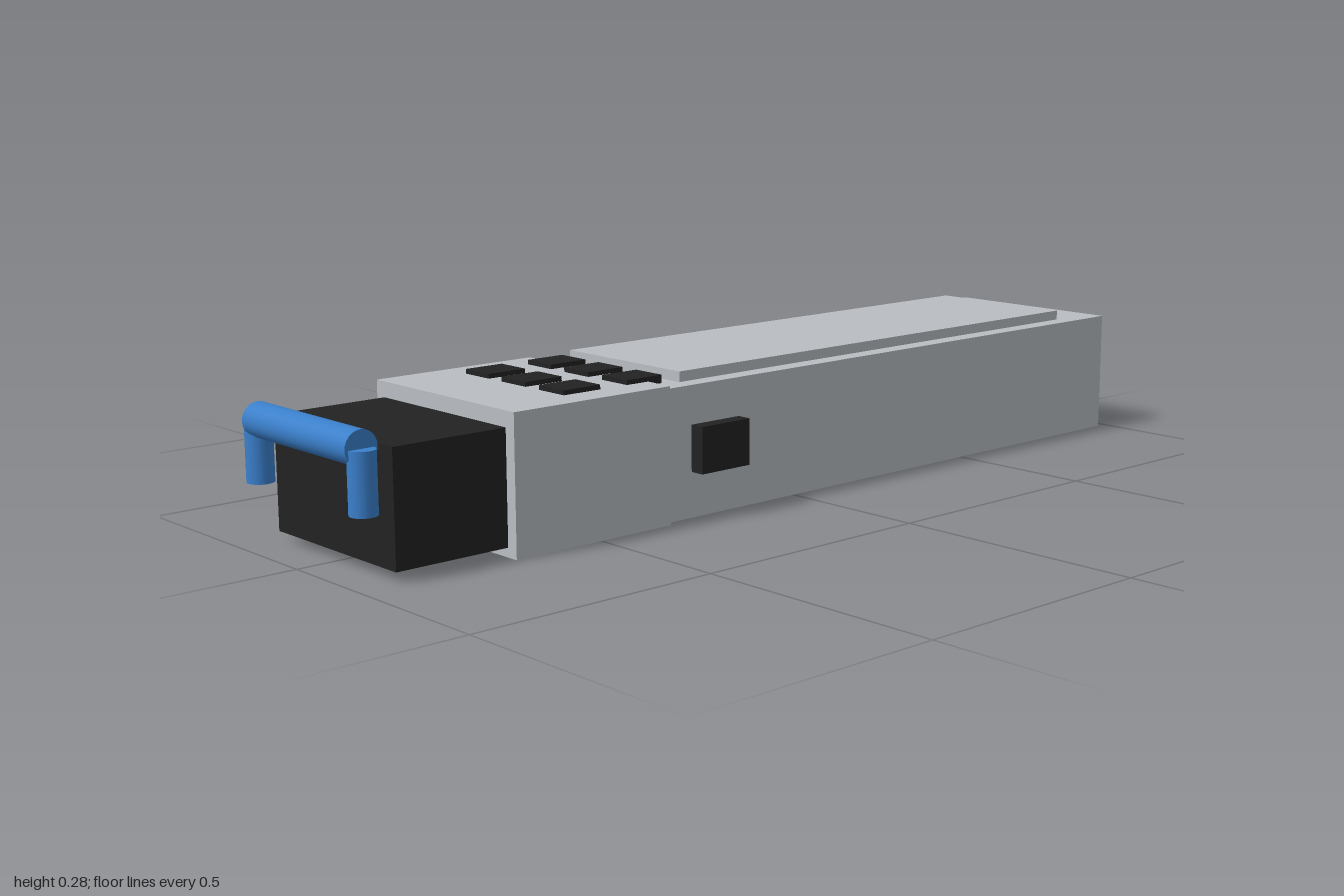
import * as THREE from 'three';

const material = (name, color) => {
  const m = new THREE.MeshStandardMaterial({ color });
  m.name = name;
  return m;
};

export function createModel() {
  const model = new THREE.Group();
  model.name = 'transceiverModule';
  const metal = material('silverMetal', 0xb9bdc1);
  const black = material('blackPlastic', 0x222222);
  const blue = material('blueLatch', 0x3a7fcb);

  const add = (name, geometry, mat, x = 0, y = 0, z = 0) => {
    const mesh = new THREE.Mesh(geometry, mat);
    mesh.name = name;
    mesh.position.set(x, y, z);
    model.add(mesh);
    return mesh;
  };

  // Box given by its lower and upper limits on each axis
  const box = (name, mat, [x0, x1], [y0, y1], [z0, z1]) =>
    add(name, new THREE.BoxGeometry(x1 - x0, y1 - y0, z1 - z0), mat,
      (x0 + x1) / 2, (y0 + y1) / 2, (z0 + z1) / 2);

  // Metal shell
  box('body', metal, [-0.2, 0.2], [0.002, 0.255], [-0.972, 0.336]);
  box('frontCollar', metal, [-0.21, 0.21], [0, 0.262], [0.334, 0.69]);
  box('topPlate', metal, [-0.163, 0.163], [0.25, 0.275], [-0.855, 0.27]);

  // Black port block at the front and edge connector at the back
  box('frontPort', black, [-0.186, 0.186], [0.018, 0.232], [0.68, 0.922]);
  box('rearConnector', black, [-0.163, 0.163], [0.062, 0.179], [-1, -0.96]);

  // Two rows of three raised pads on top
  for (const z of [0.343, 0.49]) {
    for (const x of [-0.112, 0, 0.112]) {
      box('topPad', black, [x - 0.036, x + 0.036], [0.245, 0.271], [z - 0.042, z + 0.042]);
    }
  }

  // Side catches and latch legs, mirrored
  for (const s of [-1, 1]) {
    add('sideCatch', new THREE.BoxGeometry(0.04, 0.09, 0.12), black, s * 0.21, 0.135, 0.213);
    add('latchLeg', new THREE.CylinderGeometry(0.025, 0.025, 0.112, 24), blue, s * 0.164, 0.176, 0.967);
  }

  // Cross bar of the pull latch
  add('latchBar', new THREE.CylinderGeometry(0.032, 0.032, 0.327, 24), blue, 0, 0.233, 0.967)
    .rotation.z = Math.PI / 2;

  return model;
}
